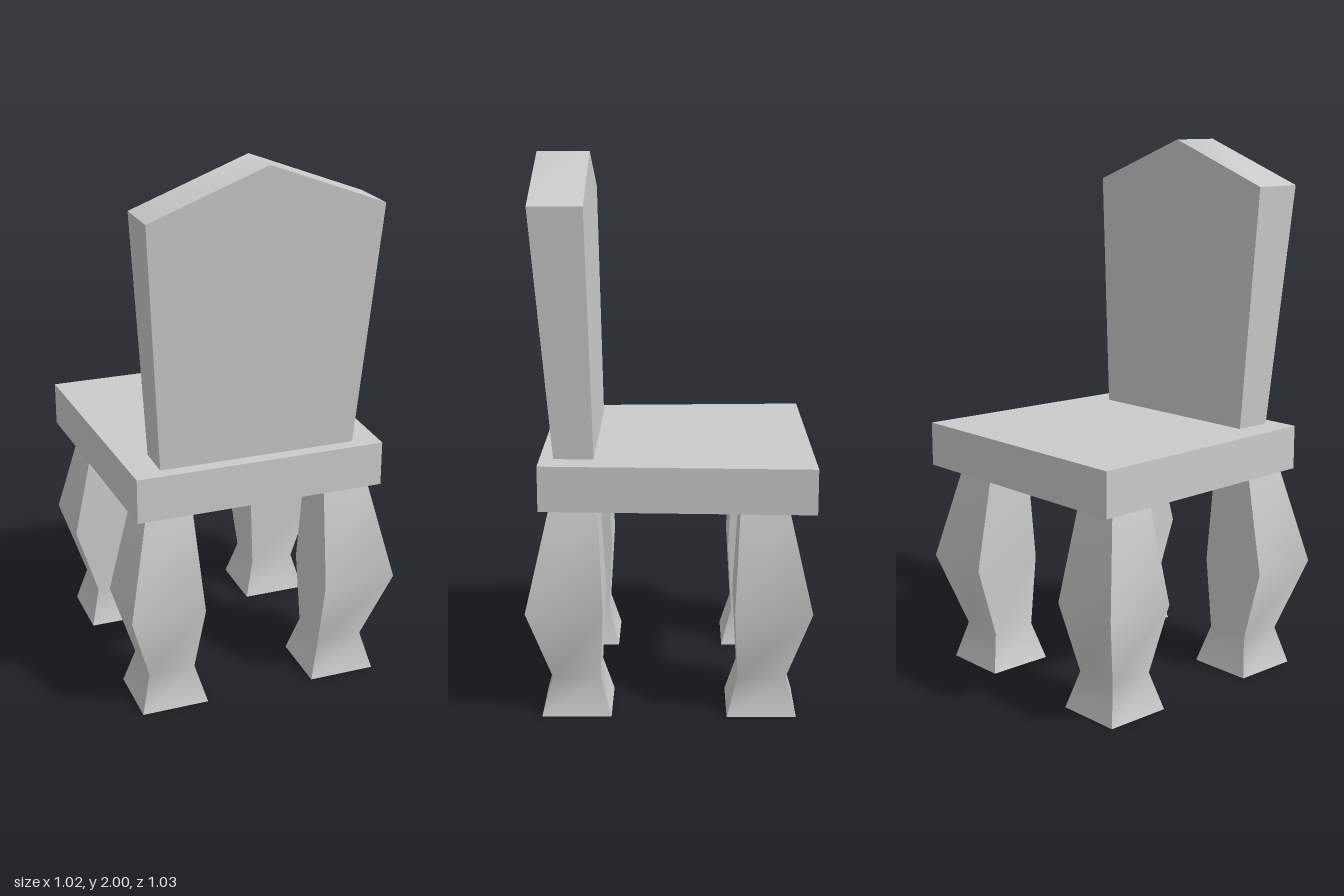
import * as THREE from 'three';
import { mergeGeometries, toCreasedNormals } from 'three/addons/utils/BufferGeometryUtils.js';

const material = new THREE.MeshStandardMaterial({ color: 0xcccccc });
const openMaterial = new THREE.MeshStandardMaterial({ color: 0xcccccc, side: THREE.DoubleSide });

// Move every vertex of a geometry by a rule
function deform(geometry, rule) {
  const pos = geometry.attributes.position;
  const v = new THREE.Vector3();
  for (let i = 0; i < pos.count; i++) {
    rule(v.fromBufferAttribute(pos, i), i);
    pos.setXYZ(i, v.x, v.y, v.z);
  }
  geometry.computeVertexNormals();
  return geometry;
}

// Leg levels from top to foot: height, inner edge, outer edge
const LEG = [
  [0.78, 0.253, 0.426],
  [0.415, 0.234, 0.51],
  [0.14, 0.249, 0.423],
  [0, 0.209, 0.461],
];

// Square leg, open at the foot; each wall is smooth along its length
function legGeometry(sx, sz) {
  const walls = [];
  for (let k = 0; k < 4; k++) {
    const wall = new THREE.PlaneGeometry(1, 1, 1, LEG.length - 1);
    wall.translate(0, 0, 0.5).rotateY(k * Math.PI / 2);
    walls.push(deform(wall, (v, i) => {
      const [y, inner, outer] = LEG[Math.floor(i / 2)];
      const mid = (inner + outer) / 2, width = outer - inner;
      v.set(sx * mid + v.x * width - 0.002, y, sz * mid + v.z * width + 0.004);
    }));
  }
  return mergeGeometries(walls);
}

export function createModel() {
  const model = new THREE.Group();
  const add = (name, geometry, mat = material) => {
    const mesh = new THREE.Mesh(geometry, mat);
    mesh.name = name;
    model.add(mesh);
  };

  // Seat slab, narrowing towards the backrest
  add('seat', deform(new THREE.BoxGeometry(1, 0.165, 0.98), (v) => {
    v.x *= v.z > 0 ? 0.93 : 1;
    v.x -= 0.003;
    v.y += 0.8625;
    v.z -= 0.025;
  }));

  // Gabled backrest, leaning and thickening up to the shoulders
  const outline = new THREE.Shape([
    [-0.367, 0.945], [0.365, 0.945], [0.424, 1.84], [0, 2], [-0.426, 1.84],
  ].map(([x, y]) => new THREE.Vector2(x, y)));
  const back = new THREE.ExtrudeGeometry(outline, { depth: 1, bevelEnabled: false });
  deform(back, (v) => {
    const t = Math.min((v.y - 0.945) / 0.895, 1);
    v.z = v.z > 0.5 ? 0.415 + 0.07 * t : 0.272 + 0.021 * t;
  });
  add('backrest', toCreasedNormals(back, 0.8));

  // Four curved legs
  for (const sx of [1, -1]) {
    for (const sz of [1, -1]) {
      add(`${sx > 0 ? 'left' : 'right'}${sz > 0 ? 'BackrestSide' : 'OpenSide'}Leg`,
        legGeometry(sx, sz), openMaterial);
    }
  }
  return model;
}
